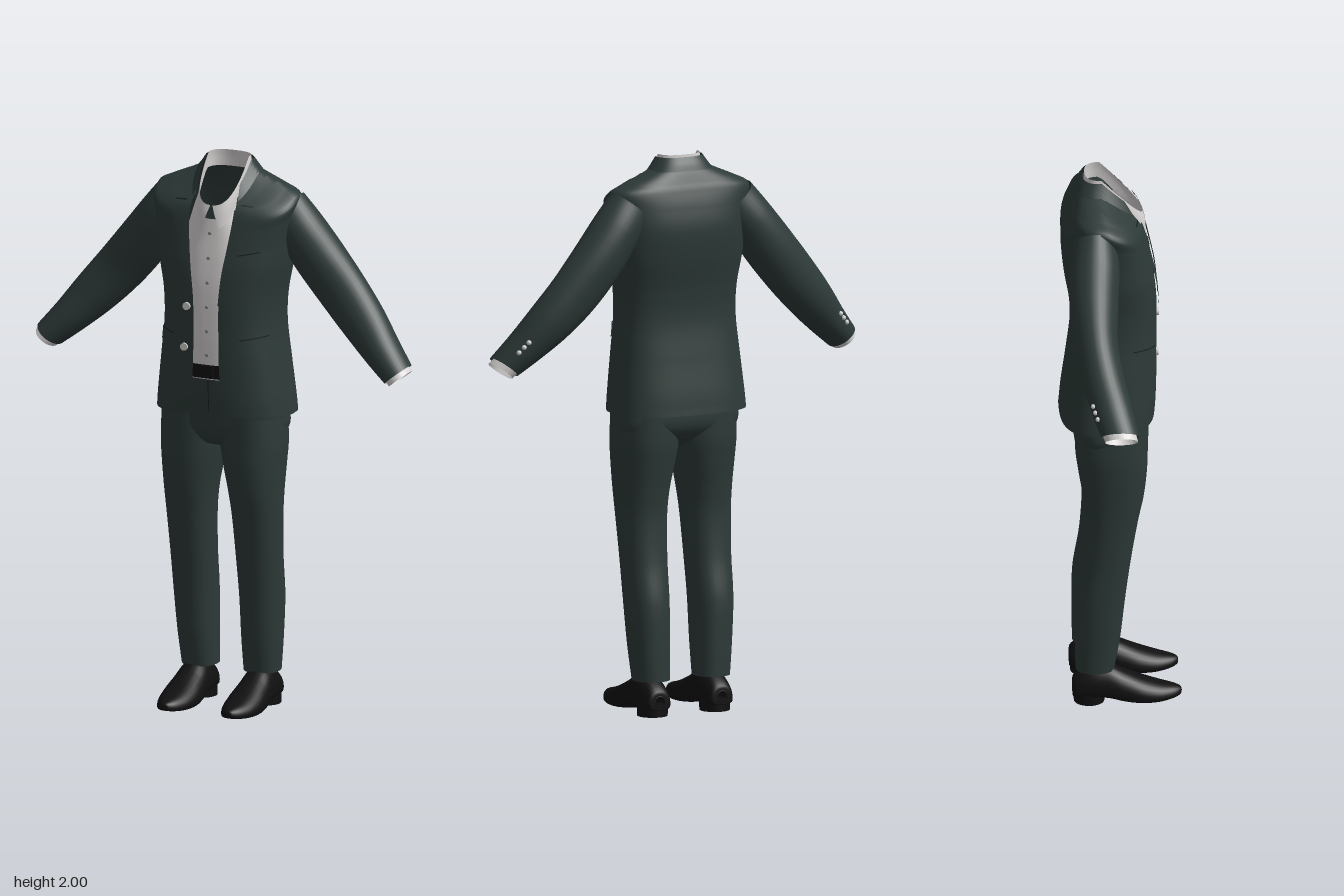
import * as THREE from 'three';
import { ParametricGeometry } from 'three/addons/geometries/ParametricGeometry.js';

const { lerp } = THREE.MathUtils;
const mat = (name, color) => Object.assign(new THREE.MeshStandardMaterial({ color, side: THREE.DoubleSide }), { name });
const ZC = -0.06; // depth of the widest line of the torso
const P = 0.75;   // squareness of the torso sections

// Smooth interpolation through rows of numbers, v = 0..1
function spline(rows, v) {
  const n = rows.length - 1, i = Math.min(Math.floor(v * n), n - 1), t = v * n - i;
  const r = (k) => rows[Math.max(0, Math.min(n, k))];
  return rows[i].map((_, c) => {
    const [a, b, d, e] = [r(i - 1)[c], r(i)[c], r(i + 1)[c], r(i + 2)[c]];
    return b + 0.5 * t * (d - a + t * (2 * a - 5 * b + 4 * d - e + t * (3 * (b - d) + e - a)));
  });
}

// Torso row: [back y, front y, half width, back z, front z, front gap]
function bodyPoint(rows, u, v, out, from = 0) {
  const [yb, yf, a, zb, zf, g] = spline(rows, v);
  const t0 = Math.asin(Math.min(1, Math.max(0, g) / a) ** (1 / P));
  const th = from ? lerp(-from, from, u) : lerp(t0, 2 * Math.PI - t0, u);
  const s = Math.sin(th), c = Math.cos(th), k = Math.abs(c) ** P;
  return out.set(a * Math.sign(s) * Math.abs(s) ** P,
    c > 0 ? lerp(yb, yf, k) : yb,
    ZC + (c > 0 ? zf - ZC : zb - ZC) * k);
}

// Point on the front of a torso surface at a given x and y
function onFront(rows, x, y, lift, out = new THREE.Vector3()) {
  let lo = 0, hi = 1, z = 0;
  for (let i = 0; i < 26; i++) {
    const v = (lo + hi) / 2, [yb, yf, a, , zf] = spline(rows, v);
    const s = Math.min(1, Math.abs(x) / a) ** (1 / P), k = (1 - s * s) ** (P / 2);
    z = ZC + (zf - ZC) * k;
    if (lerp(yb, yf, k) < y) lo = v; else hi = v;
  }
  return out.set(x, y, z + lift);
}

const jacketRows = [
  [1.08, 1.085, 0.25, -0.208, 0.127, 0.1],
  [1.1, 1.1, 0.249, -0.206, 0.129, 0.076],
  [1.16, 1.16, 0.243, -0.2, 0.133, 0.058],
  [1.28, 1.28, 0.23, -0.183, 0.136, 0.05],
  [1.41, 1.41, 0.217, -0.168, 0.136, 0.048],
  [1.52, 1.52, 0.22, -0.173, 0.136, 0.05],
  [1.64, 1.62, 0.24, -0.193, 0.128, 0.063],
  [1.74, 1.7, 0.25, -0.2, 0.112, 0.075],
  [1.82, 1.76, 0.262, -0.188, 0.098, 0.083],
  [1.876, 1.8, 0.27, -0.172, 0.088, 0.086],
  [1.905, 1.83, 0.22, -0.16, 0.08, 0.086],
  [1.935, 1.845, 0.15, -0.147, 0.074, 0.085],
  [1.955, 1.855, 0.106, -0.137, 0.068, 0.08],
];
const jacketCollarRows = [
  [1.945, 1.825, 0.122, -0.153, 0.088, 0.088],
  [1.97, 1.85, 0.103, -0.142, 0.08, 0.084],
  [1.992, 1.87, 0.088, -0.127, 0.072, 0.079],
];
const shirtRows = [
  [1.22, 1.22, 0.16, -0.1, 0.117, 0],
  [1.38, 1.38, 0.16, -0.1, 0.122, 0],
  [1.54, 1.54, 0.16, -0.1, 0.12, 0],
  [1.68, 1.64, 0.15, -0.1, 0.111, 0],
  [1.82, 1.73, 0.12, -0.11, 0.098, 0],
  [1.94, 1.8, 0.084, -0.115, 0.09, 0],
];
const shirtCollarRows = [
  [1.94, 1.765, 0.084, -0.121, 0.104, 0.035],
  [1.975, 1.815, 0.082, -0.12, 0.097, 0.016],
  [2.0, 1.85, 0.078, -0.118, 0.088, 0.004],
];
const hipRows = [
  [1.25, 1.25, 0.175, -0.125, 0.115, 0],
  [1.17, 1.17, 0.208, -0.152, 0.113, 0],
  [1.08, 1.08, 0.227, -0.163, 0.105, 0],
  [1.02, 1.02, 0.222, -0.155, 0.096, 0],
  [0.97, 0.97, 0.16, -0.11, 0.06, 0],
  [0.95, 0.95, 0.03, -0.07, -0.03, 0],
];
const beltRows = [[1.225, 1.225, 0.185, -0.13, 0.124, 0], [1.275, 1.275, 0.182, -0.128, 0.125, 0]];
// Leg row: [y, inner x, outer x, back z, front z]
const legRows = [
  [1.1, 0.0, 0.224, -0.158, 0.105], [0.98, 0.0, 0.23, -0.156, 0.101],
  [0.9, 0.011, 0.226, -0.146, 0.098], [0.8, 0.03, 0.219, -0.13, 0.086],
  [0.7, 0.04, 0.214, -0.121, 0.065], [0.55, 0.046, 0.208, -0.13, 0.04],
  [0.4, 0.05, 0.204, -0.154, 0.02], [0.25, 0.052, 0.195, -0.157, 0.003],
  [0.125, 0.055, 0.184, -0.155, -0.018],
];
// Sleeve row: [x, y, z, half width, half depth]
const sleeveRows = [
  [0.2, 1.825, -0.09, 0.088, 0.075], [0.265, 1.745, -0.095, 0.09, 0.088],
  [0.34, 1.645, -0.1, 0.094, 0.086], [0.43, 1.535, -0.097, 0.092, 0.077],
  [0.52, 1.435, -0.078, 0.083, 0.077], [0.6, 1.35, -0.05, 0.068, 0.074],
  [0.672, 1.28, -0.024, 0.055, 0.067],
];
const cuffRows = [[0.64, 1.308, -0.034, 0.05, 0.06], [0.684, 1.266, -0.02, 0.046, 0.058]];
// Shoe row: [z, half width, top y, bottom y]
const shoeRows = [
  [-0.166, 0.02, 0.075, 0.03], [-0.158, 0.045, 0.1, 0.024], [-0.1, 0.057, 0.135, 0.024],
  [-0.04, 0.06, 0.14, 0.02], [0.02, 0.066, 0.112, 0.008], [0.08, 0.069, 0.086, 0.003],
  [0.14, 0.06, 0.066, 0.005], [0.19, 0.039, 0.054, 0.012], [0.215, 0.018, 0.045, 0.02],
  [0.22, 0.002, 0.034, 0.03],
];

const sleevePoint = (rows, ang, v, out, side) => {
  const [x, y, z, w, h] = spline(rows, v), c = Math.cos(ang) * w;
  return out.set(side * (x + 0.78 * c), y + 0.625 * c, z + h * Math.sin(ang));
};
const power = (n, p) => Math.sign(n) * Math.abs(n) ** p;

export function createModel() {
  const suit = mat('suit cloth', 0x2d3a38), shirt = mat('shirt cloth', 0xd6d2d2);
  const leather = mat('black leather', 0x101011), pearl = mat('suit button', 0xd0d0ce);
  const grey = mat('shirt button', 0x8c8a8a), seam = mat('seam', 0x161d1c);
  const model = new THREE.Group();
  const add = (name, geo, material) => {
    const m = new THREE.Mesh(geo, material);
    m.name = name;
    model.add(m);
    return m;
  };
  const sheet = (name, material, nu, nv, f) => add(name, new ParametricGeometry(f, nu, nv), material);
  const body = (name, material, rows, nv, from) =>
    sheet(name, material, 64, nv, (u, v, o) => bodyPoint(rows, u, v, o, from));
  // Cloth patch lying on a torso surface, rows of [x1, y1, x2, y2]
  const patch = (name, material, rows, side, lift, base = jacketRows) =>
    sheet(name, material, 8, 16, (u, v, o) => {
      const [x1, y1, x2, y2] = spline(rows, v);
      onFront(base, side * lerp(x1, x2, u), lerp(y1, y2, u), lift, o);
    });
  const button = (name, material, r, pos) => {
    const m = add(name, new THREE.CylinderGeometry(r, r, 0.008, 16), material);
    m.rotation.x = Math.PI / 2;
    m.position.copy(pos);
  };

  // Torso
  body('jacketBody', suit, jacketRows, 60);
  body('jacketCollar', suit, jacketCollarRows, 8);
  body('shirtFront', shirt, shirtRows, 30, 1.35);
  body('shirtCollar', shirt, shirtCollarRows, 8);
  body('trouserHips', suit, hipRows, 24);
  body('belt', leather, beltRows, 2);
  add('beltBuckle', new THREE.BoxGeometry(0.05, 0.044, 0.008), leather).position.set(0, 1.25, 0.128);

  // Shirt placket and buttons
  patch('shirtPlacket', shirt, [[-0.016, 1.27, 0.016, 1.27], [-0.016, 1.79, 0.016, 1.79]], 1, 0.003, shirtRows);
  for (let i = 0; i < 6; i++)
    button('shirtButton', grey, 0.006, onFront(shirtRows, 0, 1.31 + i * 0.088, 0.004));

  // Jacket buttons, breast pocket and trouser fly
  button('jacketButton', pearl, 0.014, onFront(jacketRows, -0.074, 1.485, 0.005));
  button('jacketButton', pearl, 0.014, onFront(jacketRows, -0.084, 1.335, 0.005));
  patch('breastPocket', suit, [[0.11, 1.655, 0.185, 1.67], [0.11, 1.68, 0.185, 1.695]], 1, 0.005);
  patch('breastPocketSeam', seam, [[0.11, 1.68, 0.185, 1.695], [0.11, 1.684, 0.185, 1.699]], 1, 0.006);
  patch('flySeam', seam, [[-0.001, 1.1, 0.002, 1.1], [-0.001, 1.22, 0.002, 1.22]], 1, 0.003, [...hipRows].reverse());

  for (const side of [1, -1]) {
    // Lapel and hip pocket flap
    patch('lapel', suit, [[0.049, 1.5, 0.054, 1.5], [0.058, 1.6, 0.088, 1.6], [0.072, 1.7, 0.122, 1.71],
      [0.083, 1.79, 0.152, 1.81], [0.086, 1.84, 0.15, 1.85]], side, 0.008);
    patch('lapelNotch', seam, [[0.105, 1.853, 0.15, 1.85], [0.105, 1.857, 0.15, 1.854]], side, 0.009);
    patch('pocketFlap', suit, [[0.125, 1.325, 0.205, 1.335], [0.125, 1.375, 0.205, 1.385]], side, 0.007);
    patch('pocketSeam', seam, [[0.125, 1.375, 0.205, 1.385], [0.125, 1.379, 0.205, 1.389]], side, 0.008);

    // Sleeve, shirt cuff and sleeve buttons
    sheet('sleeve', suit, 32, 36, (u, v, o) => sleevePoint(sleeveRows, u * 2 * Math.PI, v, o, side));
    sheet('shirtCuff', shirt, 32, 4, (u, v, o) => sleevePoint(cuffRows, u * 2 * Math.PI, v, o, side));
    for (let i = 0; i < 3; i++) {
      const b = add('sleeveButton', new THREE.SphereGeometry(0.009, 12, 8), pearl);
      sleevePoint(sleeveRows, -1.05, 0.82 + i * 0.035, b.position, side);
    }

    // Trouser leg
    sheet('trouserLeg', suit, 36, 48, (u, v, o) => {
      const [y, xi, xo, zb, zf] = spline(legRows, v), t = u * 2 * Math.PI;
      o.set(side * ((xi + xo) / 2 + (xo - xi) / 2 * power(Math.sin(t), 0.88)), y,
        (zb + zf) / 2 + (zf - zb) / 2 * power(Math.cos(t), 0.88));
    });

    // Shoe and heel
    sheet('shoe', leather, 28, 36, (u, v, o) => {
      const [z, w, top, low] = spline(shoeRows, v), t = u * 2 * Math.PI, s = Math.sin(t);
      const mid = low + (top - low) * 0.3;
      o.set(side * (0.124 + w * power(Math.cos(t), 0.8)),
        s > 0 ? mid + (top - mid) * s : mid + (mid - low) * power(s, 0.5), z);
    });
    const heel = add('shoeHeel', new THREE.CylinderGeometry(0.055, 0.054, 0.035, 24), leather);
    heel.position.set(side * 0.124, 0.0175, -0.107);
  }
  return model;
}
